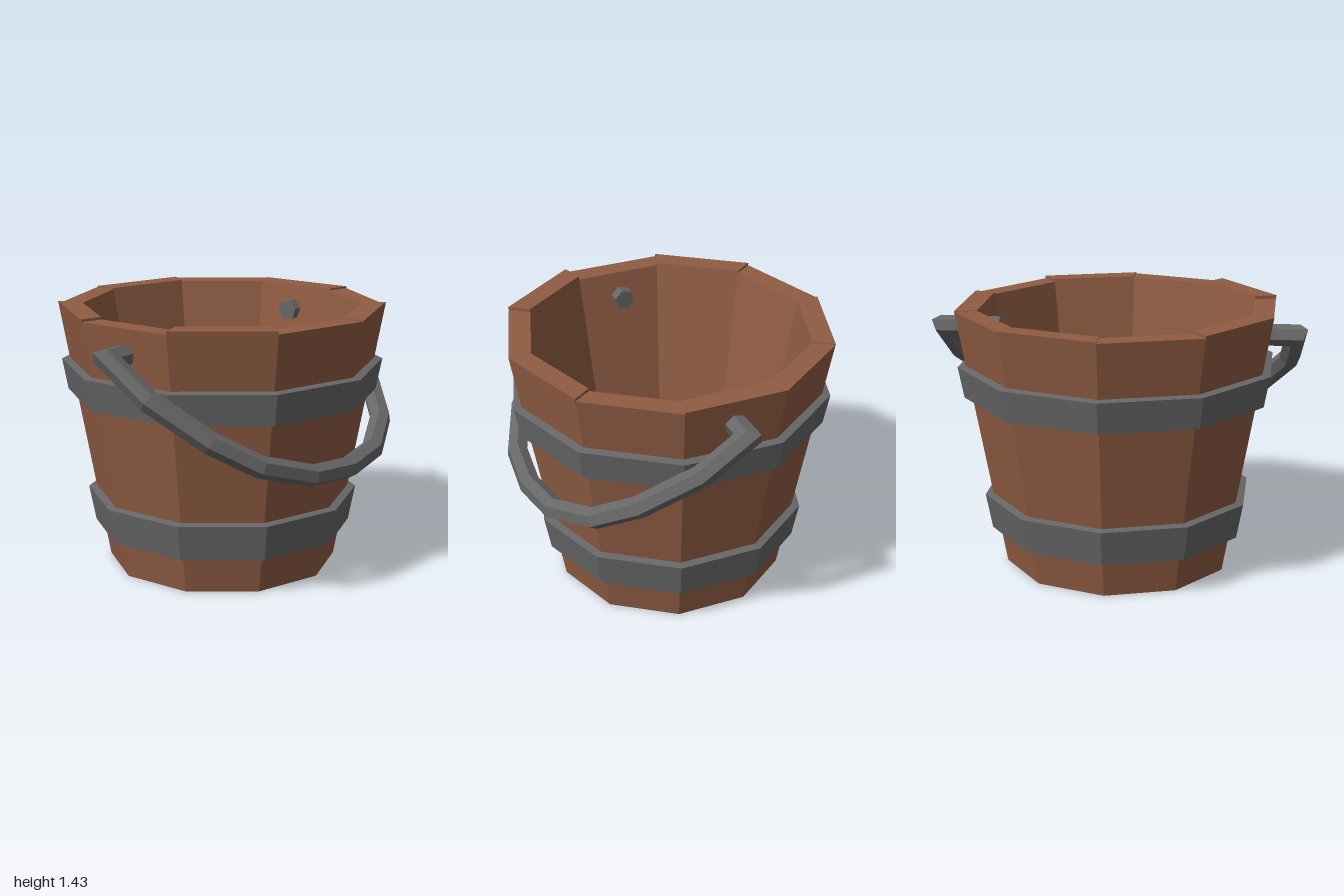
import * as THREE from 'three';

const SIDES = 10;
const FLOOR = 0.19;
const WALL = 0.12;
const wallRadius = (y) => 0.62 + 0.18 * y;

const wood = new THREE.MeshStandardMaterial({ color: 0x8f5c43 });
wood.name = 'wood';
const iron = new THREE.MeshStandardMaterial({ color: 0x676767 });
iron.name = 'iron';

// Mesh with faceted normals
function facetedMesh(name, geometry, material) {
  const g = geometry.index ? geometry.toNonIndexed() : geometry;
  g.computeVertexNormals();
  const mesh = new THREE.Mesh(g, material);
  mesh.name = name;
  return mesh;
}

// A box bent onto one side of the tapered wall
function staveGeometry(k, top) {
  const g = new THREE.BoxGeometry(1, 1, 1);
  const p = g.attributes.position;
  for (let i = 0; i < p.count; i++) {
    const a = ((k + p.getX(i) + 0.5) / SIDES) * Math.PI * 2;
    const y = p.getY(i) > 0 ? top : FLOOR;
    const r = wallRadius(y) - (p.getZ(i) > 0 ? 0 : WALL);
    p.setXYZ(i, Math.sin(a) * r, y, Math.cos(a) * r);
  }
  return g;
}

// Tapered hoop around the wall
function hoopGeometry(y0, y1) {
  const out = 0.043;
  const profile = [
    [wallRadius(y0) - 0.03, y0 + 0.005],
    [wallRadius(y0) + out, y0],
    [wallRadius(y1) + out, y1 - 0.008],
    [wallRadius(y1) - 0.03, y1 + 0.004],
  ].map(([r, y]) => new THREE.Vector2(r, y));
  return new THREE.LatheGeometry(profile, SIDES);
}

// Six-sided bar swept with mitred corners along a path in a tilted plane
function handleGeometry() {
  const half = [[0.64, 0], [0.945, 0], [0.917, 0.29], [0.765, 0.62], [0.585, 0.84], [0.3, 0.99]];
  const path = [...half, [0, 1.03], ...half.slice().reverse().map(([x, s]) => [-x, s])]
    .map(([x, s]) => new THREE.Vector2(x, s));
  const down = new THREE.Vector3(0, -0.617, 0.787);
  const normal = new THREE.Vector3(0, 0.787, 0.617);
  const pivot = new THREE.Vector3(0, 1.275, -0.007);
  const N = 6, R = 0.058, positions = [], index = [];

  path.forEach((pt, i) => {
    const before = pt.clone().sub(path[Math.max(i - 1, 0)]).normalize();
    const after = path[Math.min(i + 1, path.length - 1)].clone().sub(pt).normalize();
    const t = before.clone().add(after).normalize();
    const ref = i === 0 ? after : before;
    const miter = 1 / t.dot(ref);
    for (let j = 0; j < N; j++) {
      const a = 0.67 + (j / N) * Math.PI * 2;
      const o = -Math.sin(a) * R * miter, n = Math.cos(a) * R;
      const v = pivot.clone()
        .addScaledVector(down, pt.y + t.x * -o)
        .addScaledVector(normal, n);
      v.x += pt.x + t.y * o;
      positions.push(v.x, v.y, v.z);
    }
  });
  const rings = path.length;
  for (let i = 0; i < rings - 1; i++) {
    for (let j = 0; j < N; j++) {
      const a = i * N + j, b = i * N + ((j + 1) % N);
      index.push(a, b, a + N, b, b + N, a + N);
    }
  }
  // End caps
  const last = (rings - 1) * N;
  for (let j = 1; j < N - 1; j++) {
    index.push(0, j + 1, j, last, last + j, last + j + 1);
  }

  // Make the faces point outward whichever way the sweep runs
  const at = (k) => new THREE.Vector3().fromArray(positions, k * 3);
  const centre = new THREE.Vector3();
  for (let j = 0; j < N; j++) centre.addScaledVector(at(j), 1 / N);
  const e1 = at(1).sub(at(0)), e2 = at(N).sub(at(0));
  if (e1.cross(e2).dot(at(0).add(at(1)).multiplyScalar(0.5).sub(centre)) < 0) index.reverse();

  const g = new THREE.BufferGeometry();
  g.setAttribute('position', new THREE.Float32BufferAttribute(positions, 3));
  g.setIndex(index);
  return g;
}

export function createModel() {
  const model = new THREE.Group();
  model.name = 'bucket';

  // Solid base, whose top is the inside floor
  const base = new THREE.CylinderGeometry(wallRadius(FLOOR), wallRadius(0), FLOOR, SIDES);
  base.translate(0, FLOOR / 2, 0);
  model.add(facetedMesh('base', base, wood));

  // Staves of slightly uneven height
  const staves = new THREE.Group();
  staves.name = 'staves';
  [1.42, 1.405, 1.415, 1.412, 1.418, 1.412, 1.425, 1.412, 1.43, 1.414].forEach((top, k) => {
    staves.add(facetedMesh('stave', staveGeometry(k, top), wood));
  });
  model.add(staves);

  // Iron hoops and swinging handle
  model.add(facetedMesh('lowerHoop', hoopGeometry(0.2, 0.4), iron));
  model.add(facetedMesh('upperHoop', hoopGeometry(0.945, 1.12), iron));
  model.add(facetedMesh('handle', handleGeometry(), iron));
  return model;
}
